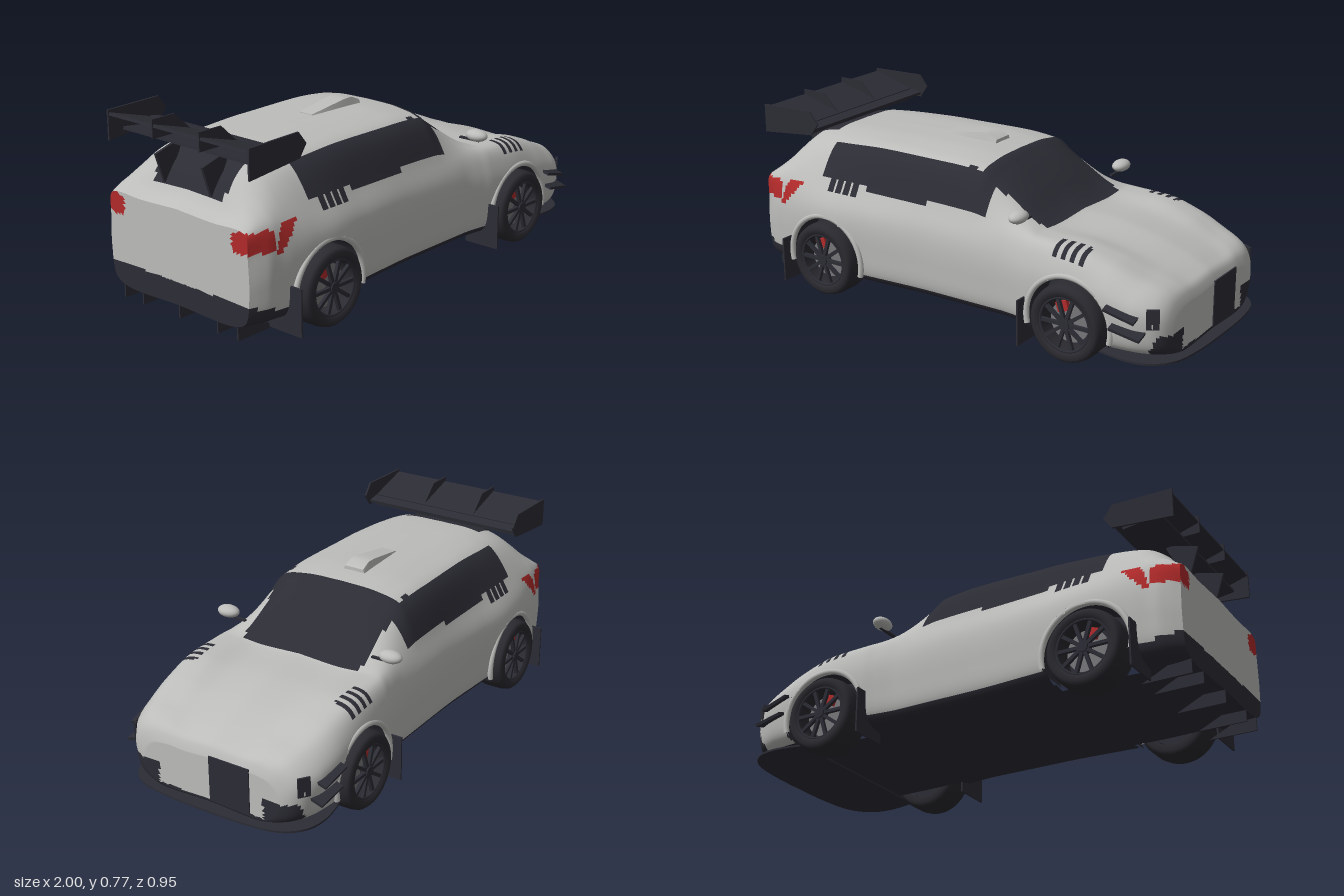
import * as THREE from 'three';

const mat = (name, color, side = THREE.FrontSide) => {
  const m = new THREE.MeshStandardMaterial({ color, side });
  m.name = name;
  return m;
};

// Monotone smooth interpolation of a table column
function smooth(xs, ys) {
  const n = xs.length;
  const d = xs.slice(1).map((x, i) => (ys[i + 1] - ys[i]) / (x - xs[i]));
  const m = xs.map((_, i) => {
    if (i === 0) return d[0];
    if (i === n - 1) return d[n - 2];
    return d[i - 1] * d[i] <= 0 ? 0 : (2 * d[i - 1] * d[i]) / (d[i - 1] + d[i]);
  });
  return (x) => {
    let i = 0;
    while (i < n - 2 && x > xs[i + 1]) i++;
    const h = xs[i + 1] - xs[i], t = (x - xs[i]) / h, t2 = t * t, t3 = t2 * t;
    return ys[i] * (2 * t3 - 3 * t2 + 1) + m[i] * h * (t3 - 2 * t2 + t) +
      ys[i + 1] * (3 * t2 - 2 * t3) + m[i + 1] * h * (t3 - t2);
  };
}

// x, half width, shoulder z, shoulder y, roof edge z, roof edge y, top y
const STATIONS = [
  [-1, .375, .365, .44, .33, .455, .46],
  [-.96, .395, .375, .455, .32, .485, .495],
  [-.92, .41, .38, .465, .30, .52, .555],
  [-.88, .415, .385, .47, .29, .555, .605],
  [-.82, .425, .385, .475, .285, .59, .645],
  [-.72, .435, .385, .48, .285, .61, .662],
  [-.6, .44, .385, .48, .29, .62, .668],
  [-.4, .425, .375, .475, .29, .63, .672],
  [-.1, .41, .37, .47, .295, .63, .675],
  [.07, .41, .37, .465, .29, .62, .662],
  [.13, .41, .37, .46, .285, .585, .63],
  [.22, .41, .37, .455, .29, .53, .565],
  [.32, .42, .375, .45, .30, .475, .485],
  [.38, .43, .385, .445, .31, .455, .455],
  [.55, .44, .39, .435, .30, .45, .44],
  [.7, .44, .38, .40, .28, .415, .41],
  [.82, .43, .36, .355, .26, .365, .37],
  [.9, .40, .335, .325, .24, .335, .335],
  [.94, .36, .31, .29, .22, .305, .31],
  [.955, .32, .28, .25, .2, .265, .27],
];
const column = [1, 2, 3, 4, 5, 6].map((c) => smooth(STATIONS.map((s) => s[0]), STATIONS.map((s) => s[c])));
const WHEELS = [-.635, .56], AXLE = .16;

// Closed cross-section of the body at x
function ring(x) {
  const [w, zs, ys, zr, yr, yt] = column.map((f) => f(x));
  const yb = .078, h = ys - yb;
  const half = new THREE.CatmullRomCurve3([
    [0, yb], [.8 * w, yb], [.95 * w, yb + .03], [w, yb + h * .4], [w * .99, yb + h * .75],
    [zs, ys], [zr, yr], [zr * .6, yt - .008], [0, yt],
  ].map(([z, y]) => new THREE.Vector3(x, y, z))).getPoints(56);
  return half.concat(half.slice(1, -1).reverse().map((p) => new THREE.Vector3(x, p.y, -p.z)));
}

// Paint areas: 0 body, 1 dark trim and glass, 2 red lamps, -1 open wheel arch
function paint({ x, y, z }) {
  const a = Math.abs(z);
  const slat = (x0) => x > x0 && x < x0 + .14 && (x - x0) % .038 < .025;
  if (a > .3 && WHEELS.some((c) => Math.hypot(x - c, y - AXLE) < .186)) return -1;
  if (y < .086) return 1;
  if (x > -.46 && x < .4 && y < .125) return 1;
  if (x < -.8 && y < .12 + (-.8 - x) * .25) return 1;
  if (x > .07 && x < .37 && a < .28 && y > .44) return 1;
  if (x > -.69 && x < .13 && y > (x < -.45 ? .503 : .482) && y < .64 && a > .27) return 1;
  if (x < -.75 && a < .19 && y > .52) return 1;
  if (slat(-.635) && a > .35 && a < .41 && y > .45) return 1;
  if (slat(.475) && a > .33 && a < .412 && y > .39) return 1;
  if (x > .885 && a > .245 && a < .39 && y < .175) return 1;
  if (x < -.89 && a > .29 && y > .37 && y < .448) return 2;
  if (x < -.82 + (y - .41) * .9 && x > -.875 + (y - .41) * .4 && a > .3 && y > .36 && y < .46) return 2;
  return 0;
}

// Surface through a list of rings, sorted into paint groups
function skin(name, rows, materials) {
  const n = rows[0].length, lists = materials.map(() => []), pts = rows.flat();
  for (let i = 0; i < rows.length - 1; i++) for (let j = 0; j < n; j++) {
    const k = (j + 1) % n;
    const a = i * n + j, b = a + n, c = (i + 1) * n + k, d = i * n + k;
    const mid = [a, b, c, d].reduce((s, v) => s.addScaledVector(pts[v], .25), new THREE.Vector3());
    const p = paint(mid);
    if (p >= 0) lists[p].push(a, b, c, a, c, d);
  }
  const g = new THREE.BufferGeometry().setFromPoints(pts);
  g.setIndex(lists.flat());
  let start = 0;
  lists.forEach((l, i) => { g.addGroup(start, l.length, i); start += l.length; });
  g.computeVertexNormals();
  const m = new THREE.Mesh(g, materials);
  m.name = name;
  return m;
}

export function createModel() {
  const car = new THREE.Group();
  car.name = 'rallyCar';
  const body = mat('bodyGrey', 0xbcbcba), dark = mat('darkTrim', 0x2c2c35), red = mat('lampRed', 0xb22a2a);
  const tyre = mat('tyreBlack', 0x2a2a30), disc = mat('discGrey', 0x77777a);
  const liner = mat('linerDark', 0x2c2c35, THREE.DoubleSide);
  const add = (name, geo, material, x = 0, y = 0, z = 0, parent = car) => {
    const m = new THREE.Mesh(geo, material);
    m.name = name;
    m.position.set(x, y, z);
    parent.add(m);
    return m;
  };
  const box = (name, sx, sy, sz, m, x, y, z, parent) => add(name, new THREE.BoxGeometry(sx, sy, sz), m, x, y, z, parent);
  // Upright plate cut from a side outline
  const plate = (name, pts, z, t = .008) => {
    const s = new THREE.Shape(pts.map((p) => new THREE.Vector2(...p)));
    return add(name, new THREE.ExtrudeGeometry(s, { depth: t, bevelEnabled: false }), dark, 0, 0, z - t / 2);
  };

  // Body shell with nose, and flat tail panel
  const rows = [], STEPS = 200;
  for (let i = 0; i <= STEPS; i++) rows.push(ring(-1 + 1.955 * i / STEPS));
  const shrink = (r, k) => r.map((p) => new THREE.Vector3(p.x, .18 + (p.y - .18) * k, p.z * k));
  const tail = [], nose = [];
  for (let i = 0; i <= 20; i++) {
    tail.push(shrink(rows[0], i / 20));
    if (i) nose.push(shrink(rows[STEPS], 1 - i / 20));
  }
  car.add(skin('bodyShell', rows.concat(nose), [body, dark, red]), skin('tailPanel', tail, [body, dark, red]));
  box('grille', .006, .19, .185, dark, .956, .18, -.0925);

  // Roof scoop, tapered to the rear
  const scoop = new THREE.BoxGeometry(.27, .045, .11, 6, 1, 1), sp = scoop.attributes.position;
  for (let i = 0; i < sp.count; i++) {
    const t = sp.getX(i) / .27 + .5, up = sp.getY(i) > 0;
    sp.setZ(i, sp.getZ(i) * (.75 + .25 * t) * (up ? .8 : 1));
    if (up) sp.setY(i, t > .9 ? .006 : -.004 + .029 * Math.min(1, t * 1.4));
  }
  scoop.computeVertexNormals();
  add('roofScoop', scoop, body, -.165, .68, 0);

  // Front splitter
  const edge = new THREE.SplineCurve([[.68, .4], [.8, .42], [.9, .4], [.97, .32], [.995, .18], [1, 0],
    [.995, -.18], [.97, -.32], [.9, -.4], [.8, -.42], [.68, -.4]].map((p) => new THREE.Vector2(...p)));
  const splitter = new THREE.ExtrudeGeometry(new THREE.Shape(edge.getPoints(50)), { depth: .008, bevelEnabled: false });
  add('splitter', splitter.rotateX(Math.PI / 2), dark, 0, .068, 0);

  // Rear diffuser ramp and fins
  const ramp = new THREE.PlaneGeometry(.22, .62).rotateX(-Math.PI / 2).rotateZ(-.423);
  add('diffuserRamp', ramp, dark, -.9, .075, 0);
  for (const z of [-.31, -.205, 0, .205, .31]) plate('diffuserFin', [[-1, .025], [-.8, .025], [-1, .12]], z, .006);

  // Rear wing
  box('wingMainPlane', .2, .012, .75, dark, -.89, .722, 0).rotation.z = -.28;
  box('wingLowerPlane', .16, .012, .72, dark, -.85, .675, 0).rotation.z = -.12;
  box('wingFrontFlap', .05, .012, .74, dark, -.76, .69, 0).rotation.z = -.2;
  for (const s of [-1, 1]) {
    plate('wingEndPlate', [[-.99, .765], [-.74, .77], [-.7, .72], [-.735, .67], [-.99, .645]], s * .375);
    plate('wingFin', [[-.99, .775], [-.88, .775], [-.8, .7], [-.99, .7]], s * .125, .006);
    plate('wingStrut', [[-.98, .64], [-.84, .68], [-.88, .6], [-.88, .53], [-.94, .52]], s * .125, .012);
  }

  for (const s of [-1, 1]) {
    // Door mirrors
    add('mirror', new THREE.SphereGeometry(1, 24, 16).scale(.034, .025, .05), body, .31, .524, s * .39);
    box('mirrorStalk', .012, .008, .1, dark, .31, .502, s * .355);
    // Canards on the front corners
    box('upperCanard', .13, .012, .07, dark, .795, .262, s * .43).rotation.set(s * .3, 0, -.27);
    box('lowerCanard', .13, .012, .07, dark, .82, .195, s * .43).rotation.set(s * .3, 0, -.2);
    box('bumperVane', .05, .08, .008, dark, .905, .245, s * .395).rotation.y = s * .6;

    for (const cx of WHEELS) {
      // Arch lip and liner
      add('archLip', new THREE.TorusGeometry(.187, .012, 8, 40, 3.6).rotateZ(-.23), body, cx, AXLE, s * .43);
      const well = new THREE.CylinderGeometry(.187, .187, .14, 32, 1, true, Math.PI - 1.9, 3.8).rotateX(Math.PI / 2);
      add('archLiner', well, liner, cx, AXLE, s * .36);
      add('archBack', new THREE.CircleGeometry(.187, 32, Math.PI / 2 - 1.9, 3.8), liner, cx, AXLE, s * .292);
      // Mud flaps
      box('mudFlap', .007, .19, .165, dark, cx - .2, .125, s * .393);

      // Wheel, built facing +z and turned for the other side
      const wheel = new THREE.Group();
      wheel.name = 'wheel';
      wheel.position.set(cx, AXLE, s * .392);
      if (s < 0) wheel.rotation.y = Math.PI;
      car.add(wheel);
      const profile = [[.112, -.07], [.14, -.073], [.152, -.06], [.157, -.035], [.157, .035], [.152, .06],
        [.14, .073], [.115, .07], [.108, .055], [.108, -.06]].map((p) => new THREE.Vector2(...p));
      add('tyre', new THREE.LatheGeometry(profile, 48).rotateX(Math.PI / 2), tyre, 0, 0, 0, wheel);
      add('rimRing', new THREE.TorusGeometry(.109, .006, 8, 40), dark, 0, 0, .06, wheel);
      add('rimBack', new THREE.CylinderGeometry(.109, .109, .02, 32).rotateX(Math.PI / 2), dark, 0, 0, -.05, wheel);
      add('brakeDisc', new THREE.CylinderGeometry(.085, .085, .012, 32).rotateX(Math.PI / 2), disc, 0, 0, .015, wheel);
      const caliper = box('caliper', .05, .04, .02, red, -.025 * s, .062, .03, wheel);
      caliper.rotation.z = .35 * s;
      add('hub', new THREE.CylinderGeometry(.022, .026, .03, 20).rotateX(Math.PI / 2), dark, 0, 0, .052, wheel);
      for (let i = 0; i < 10; i++) {
        const a = i * Math.PI / 5;
        box('spoke', .094, .014, .014, dark, Math.cos(a) * .061, Math.sin(a) * .061, .055, wheel).rotation.z = a;
      }
    }
  }
  return car;
}
